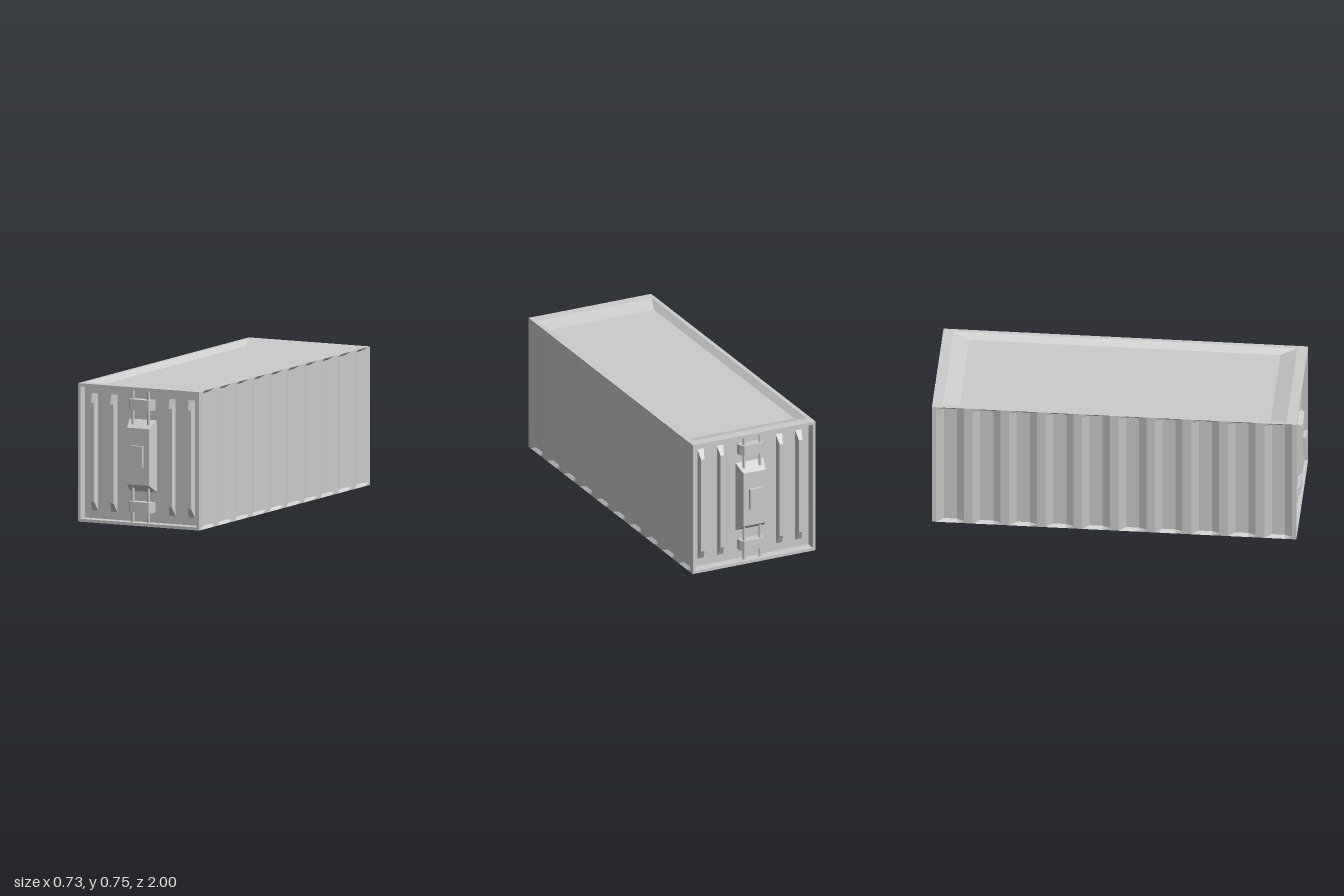
import * as THREE from 'three';

const W = 0.366, H = 0.746, L = 0.976; // half width, height, half length
const PANEL = 0.92;                    // z of the recessed door panel

const material = new THREE.MeshStandardMaterial({ color: 0xcccccc, flatShading: true });

function addMesh(parent, geometry, name, x = 0, y = 0, z = 0) {
  const mesh = new THREE.Mesh(geometry, material);
  mesh.name = name;
  mesh.position.set(x, y, z);
  parent.add(mesh);
  return mesh;
}

// Rectangular rings [halfWidth, halfHeight, z], joined outside to inside and capped, facing +z
function stepped(rings) {
  const points = [];
  const corners = rings.map(([w, h, z]) => [[-w, -h, z], [w, -h, z], [w, h, z], [-w, h, z]]);
  const quad = (a, b, c, d) => points.push(...a, ...b, ...c, ...a, ...c, ...d);
  for (let r = 0; r < corners.length - 1; r++) {
    const outer = corners[r], inner = corners[r + 1];
    for (let i = 0; i < 4; i++) {
      const j = (i + 1) % 4;
      quad(outer[i], outer[j], inner[j], inner[i]);
    }
  }
  quad(...corners[corners.length - 1]);
  const geometry = new THREE.BufferGeometry();
  geometry.setAttribute('position', new THREE.Float32BufferAttribute(points, 3));
  geometry.computeVertexNormals();
  return geometry;
}

// Side wall with trapezoid grooves that slope out at the top and bottom rails
function corrugatedWall() {
  const grooves = 10, columns = grooves * 4 + 1, depth = 0.016;
  const period = 2 * L / grooves;
  const rows = [H / 2, H / 2 - 0.016, -H / 2 + 0.016, -H / 2];
  const offsets = [0.12, 0.32, 0.68, 0.88];
  const geometry = new THREE.PlaneGeometry(2 * L, H, columns, 3);
  const position = geometry.attributes.position;
  for (let i = 0; i < position.count; i++) {
    const column = i % (columns + 1), row = Math.floor(i / (columns + 1));
    const k = column - 1;
    let x = -L, sunk = false;
    if (column === columns) x = L;
    else if (column > 0) {
      x = -L + (Math.floor(k / 4) + offsets[k % 4]) * period;
      sunk = k % 4 === 1 || k % 4 === 2;
    }
    const inner = row === 1 || row === 2;
    position.setXYZ(i, x, rows[row], sunk && inner ? -depth : 0);
  }
  return geometry.toNonIndexed();
}

// Strap over the locking bars, with chamfered sides
function bracketGeometry() {
  const shape = new THREE.Shape([
    new THREE.Vector2(-0.073, 0), new THREE.Vector2(0.073, 0),
    new THREE.Vector2(0.073, 0.025), new THREE.Vector2(0.056, 0.05),
    new THREE.Vector2(-0.056, 0.05), new THREE.Vector2(-0.073, 0.025),
  ]);
  const geometry = new THREE.ExtrudeGeometry(shape, { depth: 0.057, bevelEnabled: false });
  geometry.translate(0, 0, -0.0285);
  geometry.rotateX(Math.PI / 2);
  return geometry;
}

function createEnd(name) {
  const end = new THREE.Group();
  end.name = name;
  const mid = H / 2;

  // Frame and recessed panel
  addMesh(end, stepped([
    [W, mid, L], [0.351, 0.357, L], [0.351, 0.357, PANEL],
  ]), 'endFrame', 0, mid);

  // Vertical pressed ribs
  const rib = stepped([[0.019, 0.316, 0], [0.010, 0.266, 0.028]]);
  for (const x of [-0.292, -0.176, 0.176, 0.292]) addMesh(end, rib, 'doorRib', x, 0.374, PANEL);

  // Lock housing with keypad block
  addMesh(end, stepped([[0.083, 0.194, 0], [0.066, 0.153, 0.062]]), 'lockHousing', 0, 0.374, PANEL);
  addMesh(end, new THREE.BoxGeometry(0.069, 0.117, 0.03), 'lockBlock', 0, 0.375, 0.985);

  // Locking bars and brackets above and below the housing
  const bar = new THREE.CylinderGeometry(0.008, 0.008, 0.19, 10);
  const bracket = bracketGeometry();
  for (const side of [-1, 1]) {
    for (const x of [-0.047, 0.047]) addMesh(end, bar, 'lockingBar', x, 0.374 + side * 0.262, 0.95);
    addMesh(end, bracket, 'barBracket', 0, 0.375 + side * 0.276, PANEL);
  }
  return end;
}

export function createModel() {
  const model = new THREE.Group();
  model.name = 'shippingContainer';

  // Matching door ends
  const front = createEnd('frontEnd');
  const back = createEnd('backEnd');
  back.rotation.y = Math.PI;
  model.add(front, back);

  // Corrugated side walls
  const wall = corrugatedWall();
  for (const side of [-1, 1]) {
    const mesh = addMesh(model, wall, side > 0 ? 'leftWall' : 'rightWall', side * W, H / 2, 0);
    mesh.rotation.y = side * Math.PI / 2;
  }

  // Roof and floor with shallow sloped recesses
  const pan = stepped([[W, L, 0], [0.343, 0.92, 0], [0.31, 0.832, -0.026]]);
  addMesh(model, pan, 'roof', 0, H, 0).rotation.x = -Math.PI / 2;
  addMesh(model, pan, 'floor', 0, 0, 0).rotation.x = Math.PI / 2;

  return model;
}
